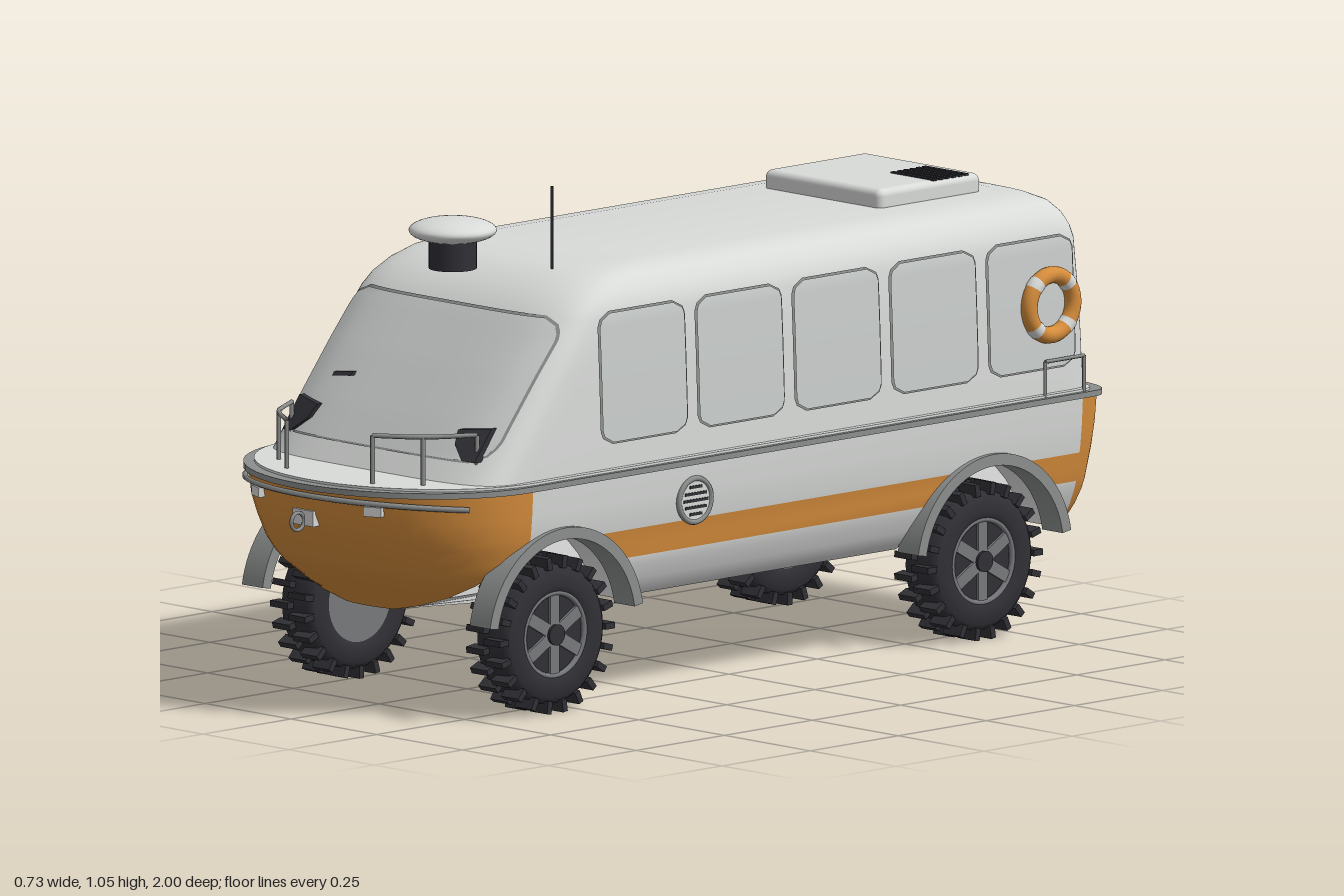
import * as THREE from 'three';
import { toCreasedNormals } from 'three/addons/utils/BufferGeometryUtils.js';
import { RoundedBoxGeometry } from 'three/addons/geometries/RoundedBoxGeometry.js';

const paint = (name, color, side = THREE.FrontSide) =>
  Object.assign(new THREE.MeshStandardMaterial({ color, side }), { name });
const N = 14, WHEELS = [0.57, -0.645], AXLE = 0.165;

// Cabin sections: y, half width, front z, rear z
const CABIN = [[0.485, 0.338, 0.79, -0.965], [0.6, 0.335, 0.705, -0.962], [0.7, 0.331, 0.627, -0.957],
  [0.8, 0.326, 0.545, -0.95], [0.825, 0.32, 0.52, -0.944], [0.85, 0.306, 0.485, -0.934],
  [0.872, 0.284, 0.44, -0.917], [0.884, 0.255, 0.39, -0.893], [0.889, 0.21, 0.3, -0.85]];
// Hull sections: y, half width, bow half width, bow z, stern z
const HULL = [[0.21, 0.285, 0.19, 0.785, -0.905], [0.225, 0.305, 0.235, 0.8, -0.92], [0.25, 0.318, 0.275, 0.83, -0.94],
  [0.28, 0.331, 0.31, 0.865, -0.952], [0.3, 0.337, 0.325, 0.885, -0.958], [0.33, 0.342, 0.337, 0.91, -0.964],
  [0.36, 0.347, 0.346, 0.925, -0.97], [0.372, 0.349, 0.348, 0.932, -0.972], [0.38, 0.35, 0.35, 0.936, -0.973],
  [0.42, 0.354, 0.354, 0.955, -0.98], [0.475, 0.357, 0.357, 0.965, -0.985]];

// Joins closed rings bottom to top; pick(level, segment) gives the material index
function loft(rings, pick = () => 0, bottom = true, top = true) {
  const M = rings[0].length, H = M / 2, faces = [[], [], []];
  const quad = (m, a, b, c, d) => faces[m].push(a, b, c, a, c, d);
  for (let i = 0; i < rings.length - 1; i++) for (let j = 0; j < M; j++) {
    const k = (j + 1) % M, a = i * M, b = a + M;
    quad(pick(i, j < H ? j : M - 1 - j), a + j, a + k, b + k, b + j);
  }
  const t = (rings.length - 1) * M;
  for (let k = 0; k < H; k++) {
    const l = (M - k) % M, l2 = M - k - 1;
    if (bottom) quad(0, l, l2, k + 1, k);
    if (top) quad(0, t + k, t + k + 1, t + l2, t + l);
  }
  const g = new THREE.BufferGeometry();
  g.setAttribute('position', new THREE.Float32BufferAttribute(rings.flat(2), 3));
  g.setIndex(faces.flat());
  let start = 0;
  faces.forEach((f, m) => { if (f.length) g.addGroup(start, f.length, m); start += f.length; });
  return toCreasedNormals(g, 0.6);
}
// Completes a half outline of [x, z] points, bow to stern, at height y
const ring = (half, y) => [...half, ...half.slice(1, -1).reverse().map(([x, z]) => [-x, z])].map(([x, z]) => [x, y, z]);
// Rounded end of an outline, from the centreline outwards
const roundEnd = (w, z0, z1, p) => Array.from({ length: N + 1 }, (_, i) => {
  const t = i / N * Math.PI / 2;
  return [w * Math.sin(t) ** p, z0 + (z1 - z0) * Math.max(0, Math.cos(t)) ** p];
});

// Hull outline with wheel arches cut into its sides
function hullRing([y, w, wf, zb, zs]) {
  const e = Math.sqrt(Math.max(0, 0.21 ** 2 - (y - 0.17) ** 2)), cut = e > 0.001;
  const side = z => z > 0.36 + 0.05 ? wf * Math.sqrt(Math.max(0, 1 - (Math.max(0, z - 0.66) / (zb - 0.66)) ** 2)) : w;
  const end = Math.acos((Math.max(0.66, WHEELS[0] + e) - 0.66) / (zb - 0.66));
  const half = [];
  for (let i = 0; i <= N; i++) half.push([wf * Math.sin(end * i / N), 0.66 + (zb - 0.66) * Math.cos(end * i / N)]);
  for (const c of WHEELS) {
    const a = side(c + e), b = side(c - e), inner = x => cut ? Math.min(0.225, x) : x;
    half.push([a, c + e], [inner(a), c + e], [inner(b), c - e], [b, c - e]);
  }
  return ring([...half, ...roundEnd(w, -0.9, zs, 0.5).reverse()], y);
}
function cabinAt(y) {
  let i = 0;
  while (i < CABIN.length - 2 && y > CABIN[i + 1][0]) i++;
  const k = (y - CABIN[i][0]) / (CABIN[i + 1][0] - CABIN[i][0]);
  return CABIN[i].map((v, n) => v + (CABIN[i + 1][n] - v) * k);
}
const bulge = (x, w) => Math.max(0, 1 - Math.abs(x / w) ** 4) ** 0.25;
const frontZ = (x, y) => { const [, w, f] = cabinAt(y); return f - 0.14 * (1 - bulge(x, w)); };
const rearZ = (x, y) => { const [, w, , b] = cabinAt(y); return b + 0.09 * (1 - bulge(x, w)); };

// Moves every vertex of a geometry by a rule
function warp(g, rule) {
  const p = g.attributes.position;
  for (let i = 0; i < p.count; i++) p.setXYZ(i, ...rule(p.getX(i), p.getY(i), p.getZ(i)));
  g.computeVertexNormals();
  return g;
}
// Rounded pane laid on a curved wall by place(u, v)
function pane(u0, u1, v0, v1, r, place) {
  return warp(new THREE.PlaneGeometry(2, 1, 20, 20), (x, y) => {
    const v = (v0 + v1) / 2 + y * (v1 - v0), d = Math.min(r, v - v0, v1 - v);
    const hw = (u1 - u0) / 2 - r + Math.sqrt(Math.max(0, r * r - (r - d) ** 2));
    return place((u0 + u1) / 2 + x * hw, v);
  });
}

export function createModel() {
  const model = new THREE.Group();
  const white = paint('body white', 0xd9dbd9), orange = paint('hull orange', 0xd68d3c);
  const glass = paint('pale glass', 0xcbcfcd, THREE.DoubleSide), trim = paint('trim grey', 0x8c8f8e, THREE.DoubleSide);
  const dark = paint('rubber black', 0x303036), liner = paint('arch liner', 0xf3f4f3);
  const metal = paint('wheel metal', 0x77797c), amber = paint('lamp amber', 0xb36c2c);
  const add = (name, geo, mat, pos = [0, 0, 0], parent = model) => {
    const m = new THREE.Mesh(geo, mat);
    m.name = name; m.position.set(...pos); parent.add(m);
    return m;
  };
  const box = (x, y, z) => new THREE.BoxGeometry(x, y, z);
  const tube = (pts, r) => new THREE.TubeGeometry(
    new THREE.CatmullRomCurve3(pts.map(p => new THREE.Vector3(...p))), 24, r, 6);
  const rod = (name, a, b, r = 0.004) => add(name, tube([a, b], r), trim);

  // Hull, gunwale and deck
  add('hull', loft(HULL.map(hullRing), (i, j) => {
    if (j < N || j >= N + 9) return 0;
    if ([1, 2, 3, 5, 6, 7].includes(j - N)) return 2;
    return HULL[i][0] >= 0.3 && HULL[i][0] < 0.36 ? 0 : 1;
  }, true, false), [orange, white, liner]);
  const rim = hullRing(HULL.at(-1));
  const slab = (s, y0, y1) => loft([y0, y1].map(y => rim.map(([x, , z]) => [x * s, y, z * s])));
  add('gunwale', slab(1.012, 0.474, 0.486), trim);
  add('deck', slab(0.985, 0.484, 0.491), white);

  // Cabin shell
  add('cabin', loft(CABIN.map(([y, w, f, b]) => ring([...roundEnd(w, f - 0.14, f, 0.5), [w, 0],
    ...roundEnd(w, b + 0.09, b, 0.5).reverse()], y))), white);

  // Windows, each a thin frame with a pane over it
  const glaze = (name, u0, u1, v0, v1, r, place) => {
    add(name + 'Frame', pane(u0 - 0.004, u1 + 0.004, v0 - 0.004, v1 + 0.004, r + 0.004, place(0.003)), trim);
    add(name, pane(u0, u1, v0, v1, r, place(0.006)), glass);
  };
  glaze('windshield', -0.3, 0.3, 0.535, 0.805, 0.045, o => (x, y) => [x, y, frontZ(x, y) + o]);
  glaze('rearWindow', -0.26, 0.26, 0.56, 0.8, 0.045, o => (x, y) => [x, y, rearZ(x, y) - o]);
  for (const s of [1, -1]) for (let i = 0; i < 5; i++) {
    const z = 0.327 - i * 0.275;
    glaze('sideWindow', z - 0.12, z + 0.12, 0.545, 0.81, 0.03, o => (u, y) => [s * (cabinAt(y)[1] + o), y, u]);
  }

  // Dark wedges and wiper on the windshield
  const onFront = g => warp(g, (x, y, z) => [x, y, z + frontZ(x, y)]);
  for (const s of [1, -1]) {
    const wedge = new THREE.Shape([[0.28, 0.6], [0.205, 0.592], [0.215, 0.565], [0.25, 0.537], [0.28, 0.535]]
      .map(([x, y]) => new THREE.Vector2(s * x, y)));
    add('cornerWedge', onFront(new THREE.ExtrudeGeometry(wedge, { depth: 0.02, bevelEnabled: false })), dark);
  }
  add('wiper', onFront(box(0.055, 0.008, 0.02).rotateZ(0.12).translate(-0.182, 0.652, 0.006)), dark);

  // Roof: radar, antenna and ventilation hatch
  add('radarMast', new THREE.CylinderGeometry(0.049, 0.049, 0.06, 32), dark, [-0.006, 0.905, 0.535]);
  add('radarDome', new THREE.SphereGeometry(0.09, 40, 20).scale(1, 0.29, 1), white, [-0.006, 0.954, 0.535]);
  add('antenna', new THREE.CylinderGeometry(0.003, 0.003, 0.17, 8), dark, [0.16, 0.965, 0.415]);
  add('roofHatch', new RoundedBoxGeometry(0.34, 0.05, 0.29, 4, 0.015), white, [-0.005, 0.902, -0.655]);
  for (let i = 0; i < 6; i++) add('hatchGrille', box(0.125, 0.004, 0.01), dark, [0.1, 0.928, -0.76 + i * 0.018]);

  // Life ring with white bands
  const buoy = new THREE.Group();
  buoy.name = 'lifeRing'; buoy.position.set(0.346, 0.675, -0.82); buoy.rotation.y = Math.PI / 2; model.add(buoy);
  add('ring', new THREE.TorusGeometry(0.062, 0.0175, 16, 48), orange, [0, 0, 0], buoy);
  for (let i = 0; i < 4; i++)
    add('band', new THREE.TorusGeometry(0.062, 0.0185, 16, 8, 0.3), white, [0, 0, 0], buoy).rotation.z = Math.PI / 4 - 0.15 + i * Math.PI / 2;

  // Bow fittings: bumper rail, lamps and tow eye
  const bow = [];
  for (let i = -8; i <= 8; i++) {
    const t = i / 8 * 1.08;
    bow.push([0.364 * Math.sin(t), 0.462 - 0.012 * (i / 8) ** 2, 0.66 + 0.31 * Math.cos(t)]);
  }
  add('bumperRail', tube(bow, 0.006), trim);
  add('towPlate', box(0.06, 0.032, 0.02), white, [-0.005, 0.413, 0.952]);
  add('towEye', new THREE.TorusGeometry(0.018, 0.004, 8, 24), trim, [-0.003, 0.407, 0.978]).rotation.y = Math.PI / 2;

  for (const s of [1, -1]) {
    add('bowLamp', box(0.04, 0.02, 0.02), white, [s * 0.167, 0.443, 0.927]).rotation.y = s * 0.4;
    add('tailLamp', box(0.016, 0.09, 0.012), amber, [s * 0.28, 0.415, -0.972]);

    // Curved bow handrail on three posts
    const rail = [[s * 0.125, 0.59, 0.89], [s * 0.21, 0.59, 0.83], [s * 0.27, 0.59, 0.735]];
    add('bowRail', tube(rail, 0.005), trim);
    for (const [x, y, z] of rail) rod('bowRailPost', [x, 0.488, z], [x, y, z], 0.005);

    // Stern grab rail
    rod('sternRail', [s * 0.35, 0.56, -0.8], [s * 0.35, 0.56, -0.91]);
    for (const z of [-0.8, -0.91]) rod('sternRailPost', [s * 0.35, 0.485, z], [s * 0.35, 0.56, z]);

    // Round side vent
    const disc = new THREE.CylinderGeometry(0.045, 0.045, 0.008, 32).rotateZ(Math.PI / 2);
    add('ventDisc', disc, white, [s * 0.354, 0.4, 0.2]);
    add('ventRing', new THREE.TorusGeometry(0.045, 0.006, 8, 36).rotateY(Math.PI / 2), trim, [s * 0.356, 0.4, 0.2]);
    for (let i = -2; i <= 2; i++)
      add('ventSlot', box(0.004, 0.006, 0.07 - 0.009 * i * i), dark, [s * 0.358, 0.4 + i * 0.014, 0.2]);

    for (const z of WHEELS) {
      // Fender arch
      const arc = new THREE.Shape();
      arc.absarc(0, 0, 0.22, 0.17, Math.PI - 0.17, false);
      arc.absarc(0, 0, 0.196, Math.PI - 0.17, 0.17, true);
      const fender = new THREE.ExtrudeGeometry(arc, { depth: 0.06, bevelEnabled: false, curveSegments: 24 });
      add('fender', toCreasedNormals(fender.rotateY(-Math.PI / 2), 0.6), trim, [s > 0 ? 0.362 : -0.302, 0.17, z]);

      // Wheel, built with its outer face to +x
      const wheel = new THREE.Group();
      wheel.name = 'wheel'; wheel.position.set(s * 0.285, AXLE, z);
      if (s < 0) wheel.rotation.y = Math.PI;
      model.add(wheel);
      const profile = [[0.088, -0.044], [0.1, -0.05], [0.13, -0.048], [0.143, -0.036], [0.146, 0], [0.143, 0.036],
        [0.13, 0.048], [0.1, 0.05], [0.088, 0.044]].map(([r, h]) => new THREE.Vector2(r, h));
      add('tire', new THREE.LatheGeometry(profile, 48).rotateZ(-Math.PI / 2), dark, [0, 0, 0], wheel);
      add('rim', new THREE.CylinderGeometry(0.09, 0.09, 0.076, 40).rotateZ(Math.PI / 2), metal, [-0.004, 0, 0], wheel);
      add('rimEdge', new THREE.TorusGeometry(0.086, 0.006, 8, 40).rotateY(Math.PI / 2), metal, [0.04, 0, 0], wheel);
      add('rimFace', new THREE.CylinderGeometry(0.08, 0.08, 0.004, 40).rotateZ(Math.PI / 2), dark, [0.035, 0, 0], wheel);
      add('hub', new THREE.CylinderGeometry(0.02, 0.022, 0.016, 24).rotateZ(Math.PI / 2), dark, [0.042, 0, 0], wheel);
      for (let i = 0; i < 6; i++)
        add('spoke', box(0.01, 0.075, 0.026).translate(0, 0.048, 0), metal, [0.038, 0, 0], wheel).rotation.x = i * Math.PI / 3;
      for (let i = 0; i < 44; i++)
        add('lug', box(0.05, 0.026, 0.013).translate(i % 2 ? 0.025 : -0.025, 0.15, 0), dark, [0, 0, 0], wheel).rotation.x = i * Math.PI / 22;
    }
  }
  return model;
}
